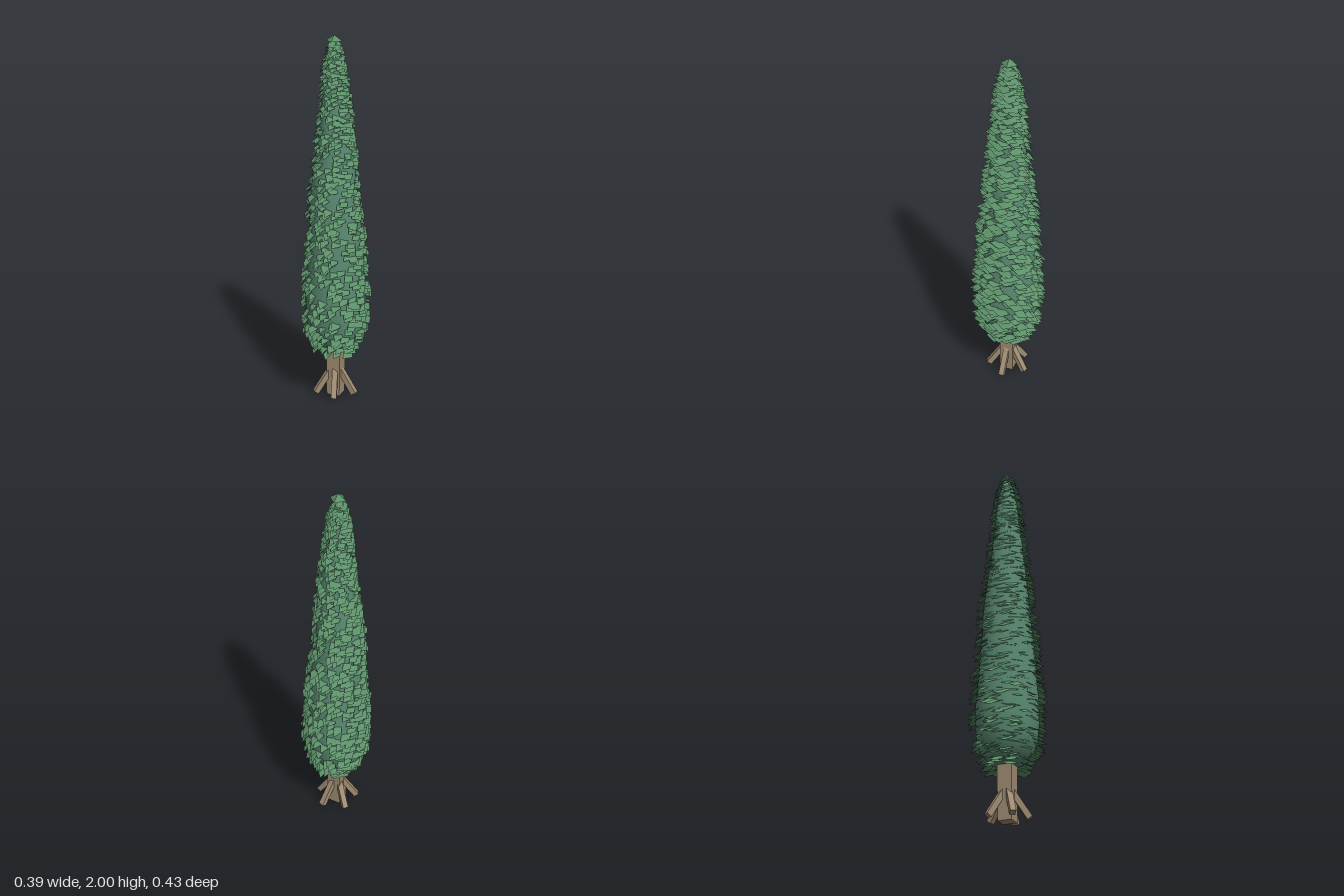
import * as THREE from 'three';

const green = new THREE.MeshStandardMaterial({ color: 0x5a8a72 });
const leafGreen = new THREE.MeshStandardMaterial({ color: 0x5c9069, side: THREE.DoubleSide, flatShading: true });
const bark = new THREE.MeshStandardMaterial({ color: 0xa08c72, flatShading: true });

// Foliage outline: radius, height, sideways sway
const outline = [
  [0.1, 0.31, 0], [0.14, 0.36, 0], [0.158, 0.43, 0], [0.165, 0.52, 0], [0.164, 0.62, 0],
  [0.154, 0.74, 0], [0.148, 0.86, 0.005], [0.138, 0.97, 0.003], [0.13, 1.08, -0.01], [0.12, 1.2, -0.012],
  [0.103, 1.36, -0.004], [0.085, 1.52, 0], [0.07, 1.68, -0.003], [0.054, 1.82, -0.008],
  [0.037, 1.91, -0.008], [0.02, 1.955, -0.008],
];

// Radius and sway at a given height
function sample(y) {
  const i = outline.findIndex((p) => p[1] >= y);
  if (i < 0) return outline[outline.length - 1];
  if (i === 0) return outline[0];
  const a = outline[i - 1], b = outline[i], t = (y - a[1]) / (b[1] - a[1]);
  return a.map((v, k) => v + (b[k] - v) * t);
}

let seed = 7;
function random() {
  seed = (seed * 16807) % 2147483647;
  return seed / 2147483647;
}
const jitter = (s) => (random() * 2 - 1) * s;

function addMesh(group, name, geometry, material) {
  const mesh = new THREE.Mesh(geometry, material);
  mesh.name = name;
  group.add(mesh);
  return mesh;
}

// Smooth inner mass of the crown
function crownGeometry() {
  const profile = [[0, 0.285], [0.06, 0.29], ...outline, [0, 1.97]];
  const geometry = new THREE.LatheGeometry(profile.map((p) => new THREE.Vector2(p[0], p[1])), 28);
  const pos = geometry.attributes.position;
  for (let i = 0; i < pos.count; i++) pos.setX(i, pos.getX(i) + sample(pos.getY(i))[2]);
  return geometry;
}

// Diamond leaves, long in z, drooping outward from the crown
function leavesGeometry(count) {
  const points = [];
  for (let i = 0; i < count; i++) {
    const t = (i + random()) / count;
    const y = 0.27 + 1.69 * t;
    const [r, , sway] = sample(y);
    const a = i * 2.39996 + jitter(0.5);
    const c = Math.cos(a), s = Math.sin(a);
    const reach = r * (0.97 + random() * 0.1) + 0.004;
    const centre = new THREE.Vector3(sway + c * reach, y, s * reach);
    const n = new THREE.Vector3(c * 0.8 + jitter(0.3), 1, s * 0.5 + jitter(0.12)).normalize();
    const size = (1.05 - 0.3 * t) * (0.85 + random() * 0.3);
    const long = new THREE.Vector3(jitter(0.12), 0, 1).projectOnPlane(n).normalize();
    const wide = n.clone().cross(long).multiplyScalar(0.025 * size);
    long.multiplyScalar(0.045 * size);
    const corner = (v, k) => centre.clone().addScaledVector(v, k);
    const [front, right, back, left] = [corner(long, 1), corner(wide, 1), corner(long, -1), corner(wide, -1)];
    for (const p of [front, right, back, front, back, left]) points.push(p.x, Math.min(p.y, 2), p.z);
  }
  const geometry = new THREE.BufferGeometry();
  geometry.setAttribute('position', new THREE.Float32BufferAttribute(points, 3));
  geometry.computeVertexNormals();
  return geometry;
}

export function createModel() {
  const tree = new THREE.Group();
  tree.name = 'tree';
  addMesh(tree, 'crown', crownGeometry(), green);
  addMesh(tree, 'leaves', leavesGeometry(1050), leafGreen);

  // Top leaves closing the tip
  const tip = addMesh(tree, 'tip', new THREE.ConeGeometry(0.045, 0.03, 4), leafGreen);
  tip.position.set(-0.008, 1.985, 0);

  // Square trunk
  const trunk = addMesh(tree, 'trunk', new THREE.CylinderGeometry(0.057, 0.053, 0.36, 4).rotateY(Math.PI / 4), bark);
  trunk.position.y = 0.18;

  // Five splayed roots
  const roots = new THREE.Group();
  roots.name = 'roots';
  tree.add(roots);
  const up = new THREE.Vector3(0, 1, 0);
  for (let i = 0; i < 5; i++) {
    const a = (i * Math.PI * 2) / 5;
    const top = new THREE.Vector3(Math.cos(a) * 0.02, 0.16, Math.sin(a) * 0.02);
    const foot = new THREE.Vector3(Math.cos(a) * 0.112, 0.016, Math.sin(a) * 0.112);
    const along = top.clone().sub(foot);
    const root = addMesh(roots, 'root', new THREE.BoxGeometry(0.03, along.length(), 0.03), bark);
    root.position.copy(top).add(foot).multiplyScalar(0.5);
    const turn = new THREE.Quaternion().setFromAxisAngle(up, -a);
    root.quaternion.setFromUnitVectors(up, along.normalize()).multiply(turn);
  }
  return tree;
}
